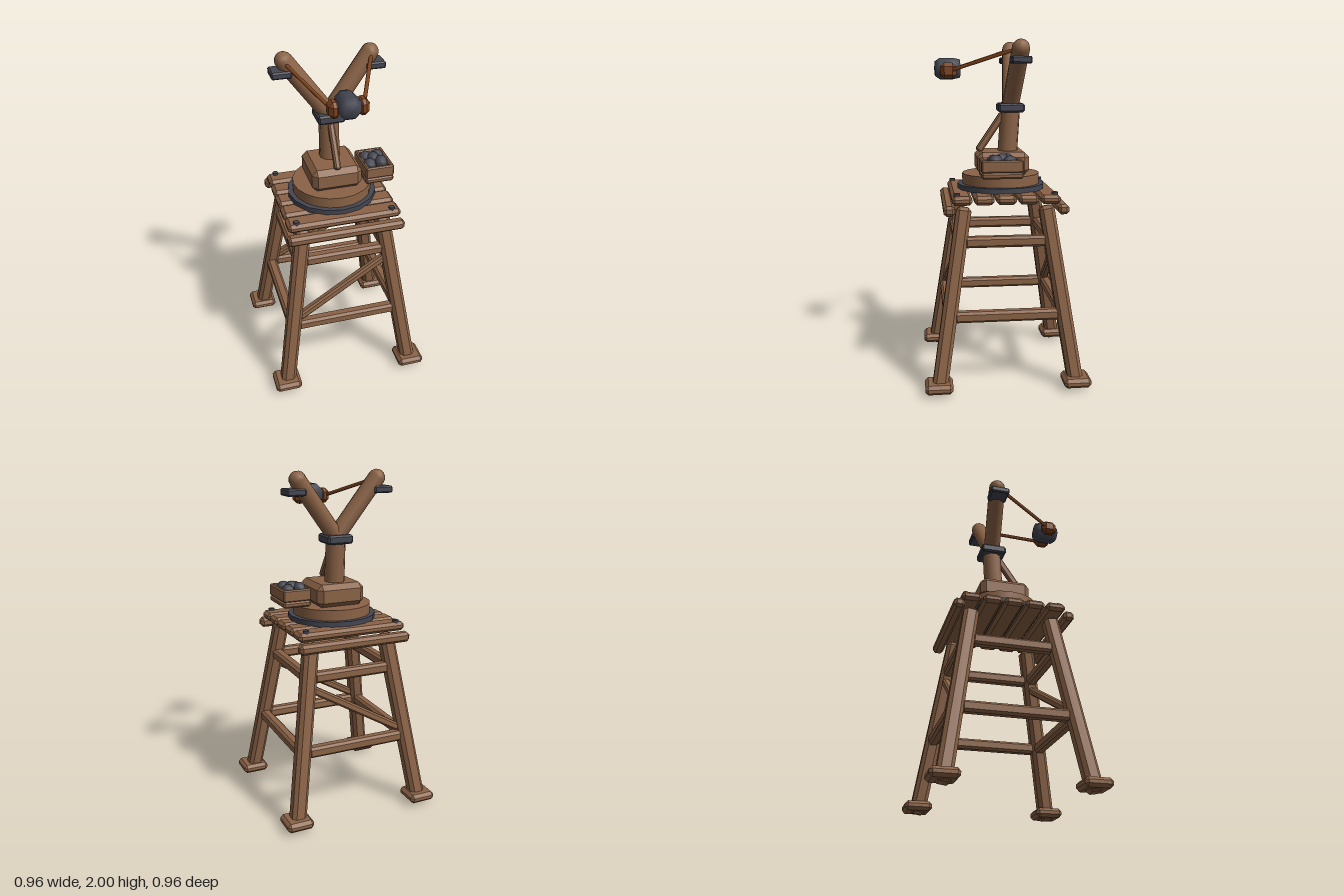
import * as THREE from 'three';
import { ConvexGeometry } from 'three/addons/geometries/ConvexGeometry.js';

const mat = (name, color) => Object.assign(new THREE.MeshStandardMaterial({ color }), { name });

export function createModel() {
  const model = new THREE.Group();
  model.name = 'slingTower';
  const wood = mat('wood', 0x8b6346);
  const iron = mat('iron', 0x444651);
  const leather = mat('leather', 0x80441f);
  const V = (x, y, z) => new THREE.Vector3(x, y, z);
  const UP = V(0, 1, 0);

  const add = (name, geometry, material, x = 0, y = 0, z = 0) => {
    const m = new THREE.Mesh(geometry, material);
    m.name = name;
    m.position.set(x, y, z);
    model.add(m);
    return m;
  };

  // Box with all edges chamfered by c
  const chamferBox = (w, h, d, c) => {
    const pts = [];
    for (const sx of [-1, 1]) for (const sy of [-1, 1]) for (const sz of [-1, 1]) {
      const x = w / 2, y = h / 2, z = d / 2;
      pts.push(
        V(sx * x, sy * (y - c), sz * (z - c)),
        V(sx * (x - c), sy * y, sz * (z - c)),
        V(sx * (x - c), sy * (y - c), sz * z));
    }
    return new ConvexGeometry(pts);
  };

  // Place a geometry that runs along y between two points
  const between = (name, a, b, make, material) => {
    const dir = b.clone().sub(a);
    const m = add(name, make(dir.length()), material);
    m.position.copy(a).add(b).multiplyScalar(0.5);
    m.quaternion.setFromUnitVectors(UP, dir.normalize());
    return m;
  };
  const beam = (name, a, b, w, d, c) => between(name, a, b, (l) => chamferBox(w, l, d, c), wood);

  // Splayed legs on square feet
  const legX = (y) => 0.4 - 0.155 * (y - 0.01);
  for (const sx of [-1, 1]) for (const sz of [-1, 1]) {
    beam('leg', V(sx * legX(0.008), 0.008, sz * legX(0.008)), V(sx * legX(1.06), 1.06, sz * legX(1.06)), 0.088, 0.088, 0.02);
    add('foot', chamferBox(0.16, 0.055, 0.16, 0.018), wood, sx * 0.4, 0.048, sz * 0.4);
  }

  // Two levels of rails on all four sides
  for (const y of [0.435, 0.86]) {
    const p = legX(y), l = 2 * p - 0.06;
    for (const s of [-1, 1]) {
      add('crossRail', chamferBox(l, 0.064, 0.064, 0.014), wood, 0, y, s * p);
      add('sideRail', chamferBox(0.064, 0.064, l, 0.014), wood, s * p, y, 0);
    }
  }

  // Diagonal braces on front and back
  for (const s of [-1, 1]) {
    beam('diagonalBrace', V(-0.29, 0.485, s * 0.325), V(0.25, 0.795, s * 0.28), 0.046, 0.046, 0.01);
    add('platformBeam', chamferBox(0.69, 0.058, 0.064, 0.016), wood, 0, 1.052, s * 0.325);
  }

  // Plank deck with corner bolts
  for (let i = -2; i <= 2; i++)
    add('deckPlank', chamferBox(0.668, 0.052, 0.114, 0.017), wood, 0, 1.108, i * 0.126);
  for (const sx of [-1, 1]) for (const sz of [-1, 1])
    add('deckBolt', new THREE.CylinderGeometry(0.018, 0.018, 0.02, 6), iron, sx * 0.283, 1.137, sz * 0.28);

  // Turntable and pedestal
  add('turntableRing', new THREE.CylinderGeometry(0.262, 0.262, 0.032, 16), iron, 0, 1.147, 0);
  add('turntable', new THREE.CylinderGeometry(0.232, 0.232, 0.062, 20), wood, 0, 1.193, 0);
  add('pedestal', chamferBox(0.295, 0.135, 0.305, 0.03), wood, 0, 1.29, -0.003);

  // Leaning post, collar and front strut
  between('post', V(0, 1.3, -0.038), V(0, 1.64, -0.06), (l) => new THREE.CylinderGeometry(0.058, 0.06, l, 10), wood);
  add('collar', chamferBox(0.158, 0.052, 0.155, 0.01), iron, 0, 1.611, -0.058);
  beam('frontStrut', V(0, 1.355, 0.135), V(0, 1.575, -0.015), 0.036, 0.044, 0.009);

  // Forked arms with clips, cords and pouch ends
  for (const s of [-1, 1]) {
    between('forkArm', V(0, 1.62, -0.058), V(s * 0.244, 1.949, -0.086),
      (l) => new THREE.CapsuleGeometry(0.051, l, 4, 10), wood);
    add('armClip', chamferBox(0.115, 0.04, 0.115, 0.008), iron, s * 0.268, 1.885, -0.083);
    between('cord', V(s * 0.245, 1.943, -0.06), V(s * 0.09, 1.825, 0.3),
      (l) => new THREE.CylinderGeometry(0.011, 0.011, l, 6), leather);
    add('pouchEnd', chamferBox(0.062, 0.09, 0.092, 0.022), leather, s * 0.078, 1.825, 0.31);
  }

  // Loaded shot, flat at the back and rounded in front
  const shotProfile = [[0, -0.073], [0.056, -0.073], [0.066, -0.03], [0.066, 0.045], [0.045, 0.073], [0, 0.077]]
    .map(([r, h]) => new THREE.Vector2(r, h));
  const shot = add('loadedShot', new THREE.LatheGeometry(shotProfile, 8, Math.PI / 8), iron, 0, 1.837, 0.312);
  shot.rotation.x = Math.PI / 2;

  // Open ammunition box on the left side
  const bx = 0.255, bz = 0.025;
  add('ammoBoxFloor', chamferBox(0.17, 0.036, 0.238, 0.01), wood, bx, 1.249, bz);
  for (const s of [-1, 1]) {
    add('ammoBoxSide', chamferBox(0.024, 0.07, 0.238, 0.007), wood, bx + s * 0.073, 1.301, bz);
    add('ammoBoxEnd', chamferBox(0.17, 0.07, 0.024, 0.007), wood, bx, 1.301, bz + s * 0.107);
  }

  // Spare shot
  for (const [x, y, z] of [[0.285, 1.322, 0.06], [0.215, 1.315, 0.065], [0.212, 1.322, -0.012], [0.288, 1.318, -0.022], [0.25, 1.327, 0.02]])
    add('spareShot', new THREE.SphereGeometry(0.041, 8, 6), iron, x, y, z);

  return model;
}
